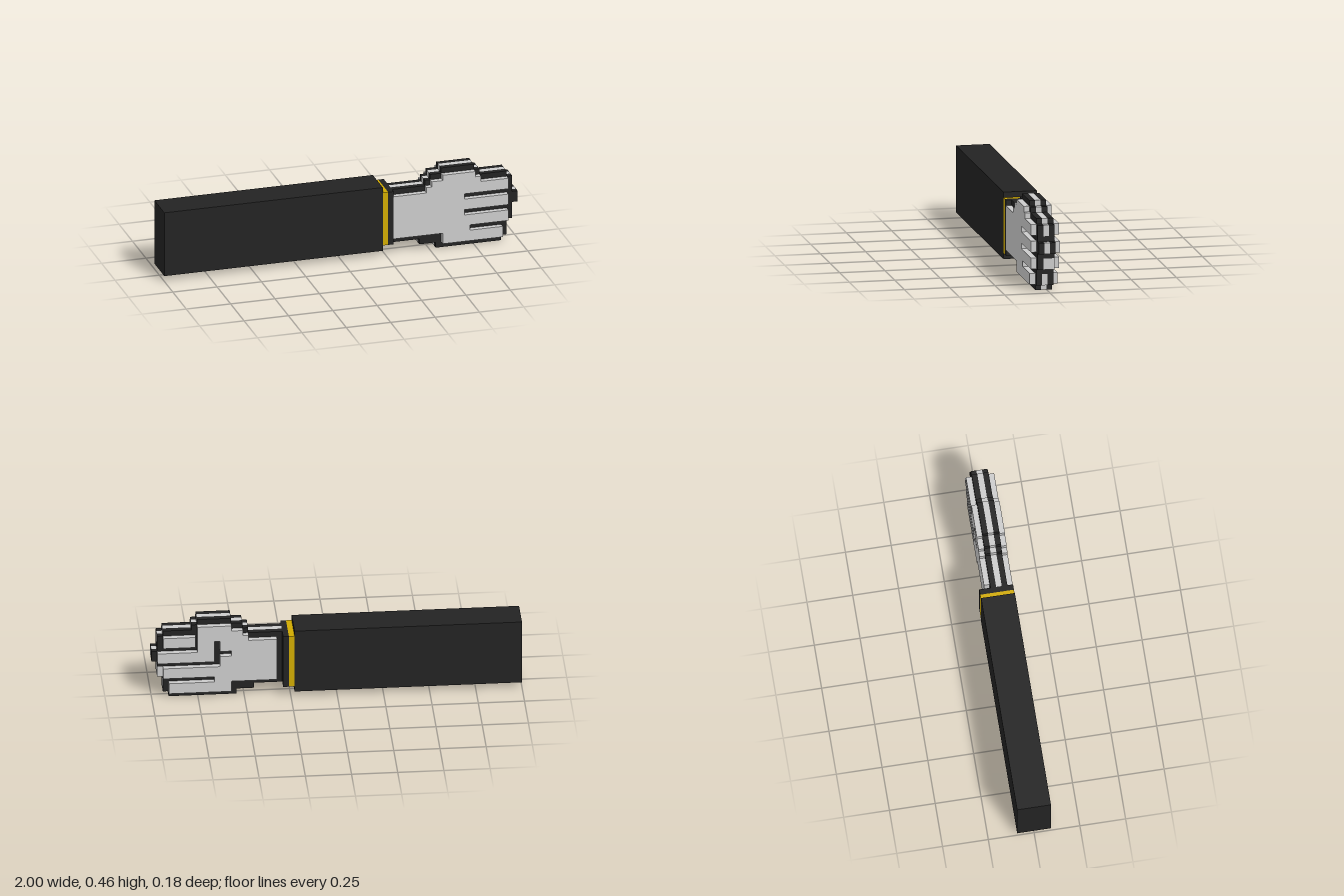
import * as THREE from 'three';

// The model sits on a grid: 65 columns long, 15 rows high, 6 layers deep.
const U = 2 / 65;

export function createModel() {
  const model = new THREE.Group();
  const mat = (name, color) => {
    const m = new THREE.MeshStandardMaterial({ color });
    m.name = name;
    return m;
  };
  const black = mat('black', 0x232323);
  const grey = mat('light grey', 0xcccccc);
  const gold = mat('gold', 0xd0aa00);

  // Extrudes an outline of [column, row] corners between two layers.
  const slab = (name, material, corners, z0, z1) => {
    const shape = new THREE.Shape(corners.map(([c, r]) => new THREE.Vector2(c * U - 1, r * U)));
    const geo = new THREE.ExtrudeGeometry(shape, { depth: (z1 - z0) * U, bevelEnabled: false });
    geo.translate(0, 0, z0 * U);
    const mesh = new THREE.Mesh(geo, material);
    mesh.name = name;
    model.add(mesh);
  };
  const block = (name, material, c0, r0, c1, r1, z0, z1) => {
    const geo = new THREE.BoxGeometry((c1 - c0) * U, (r1 - r0) * U, (z1 - z0) * U);
    const mesh = new THREE.Mesh(geo, material);
    mesh.position.set((c0 + c1) * U / 2 - 1, (r0 + r1) * U / 2, (z0 + z1) * U / 2);
    mesh.name = name;
    model.add(mesh);
  };

  // Sleeve and cuff
  block('sleeve', black, 0, 1, 40, 13, -3, 3);
  block('cuffBand', gold, 40, 2, 41, 12, -3, 3);
  block('cuffEdge', black, 41, 2, 42, 12, -3, 3);

  // Stepped hand silhouette, split so the fingertips can vary by layer
  const lower = [[42, 2], [47, 2], [47, 1], [50, 1], [50, 0], [62, 0], [62, 1], [63, 1]];
  const upper = [[64, 12], [63, 12], [63, 13], [58, 13], [58, 14], [57, 14], [57, 15],
    [51, 15], [51, 14], [49, 14], [49, 13], [48, 13], [48, 12], [42, 12]];
  const tip = [[64, 7], [65, 7], [65, 9], [64, 9]];

  slab('frontOutline', black, [...lower, [63, 4], [64, 4], ...tip, ...upper], 1, 2);
  slab('backOutline', black, [...lower, [63, 6], [64, 6], ...tip, ...upper], -1, 0);
  block('ringFingertip', grey, 63, 4, 64, 6, -1, 0);

  // Core layer, with dark fillers between the fingers
  slab('handCore', grey, [...lower, [63, 3], [56, 3], [56, 4], [64, 4], [64, 6], [55, 6],
    [55, 7], ...tip, [55, 9], [55, 10], [64, 10], ...upper], 0, 1);
  for (const [c0, c1, row] of [[56, 63, 3], [55, 64, 6], [55, 64, 9]]) {
    block('fingerGap', black, c0, row, c1, row + 1, 0, 1);
  }

  // Back of the hand, with slots between the fingers
  slab('handFront', grey, [[42, 3], [51, 3], [51, 1], [62, 1], [62, 3], [56, 3], [56, 4],
    [63, 4], [63, 6], [55, 6], [55, 7], [63, 7], [63, 9], [55, 9], [55, 10], [63, 10],
    [63, 12], [58, 12], [58, 13], [57, 13], [57, 14], [51, 14], [51, 13], [49, 13],
    [49, 12], [48, 12], [48, 11], [42, 11]], 2, 3);

  // Palm with the thumb folded over at the top
  slab('palmAndThumb', grey, [[43, 3], [51, 3], [51, 1], [54, 1], [54, 6], [53, 6], [53, 8],
    [51, 8], [51, 9], [53, 9], [53, 11], [54, 11], [54, 9], [57, 9], [57, 14], [51, 14],
    [51, 13], [49, 13], [49, 12], [48, 12], [48, 11], [43, 11]], -2, -1);

  // Curled fingers on the palm side, bottom to top
  for (const [c0, c1, row] of [[54, 62, 1], [54, 63, 4], [54, 64, 7], [57.3, 63, 10]]) {
    block('finger', grey, c0, row, c1, row + 2, -2, -1);
  }
  return model;
}
